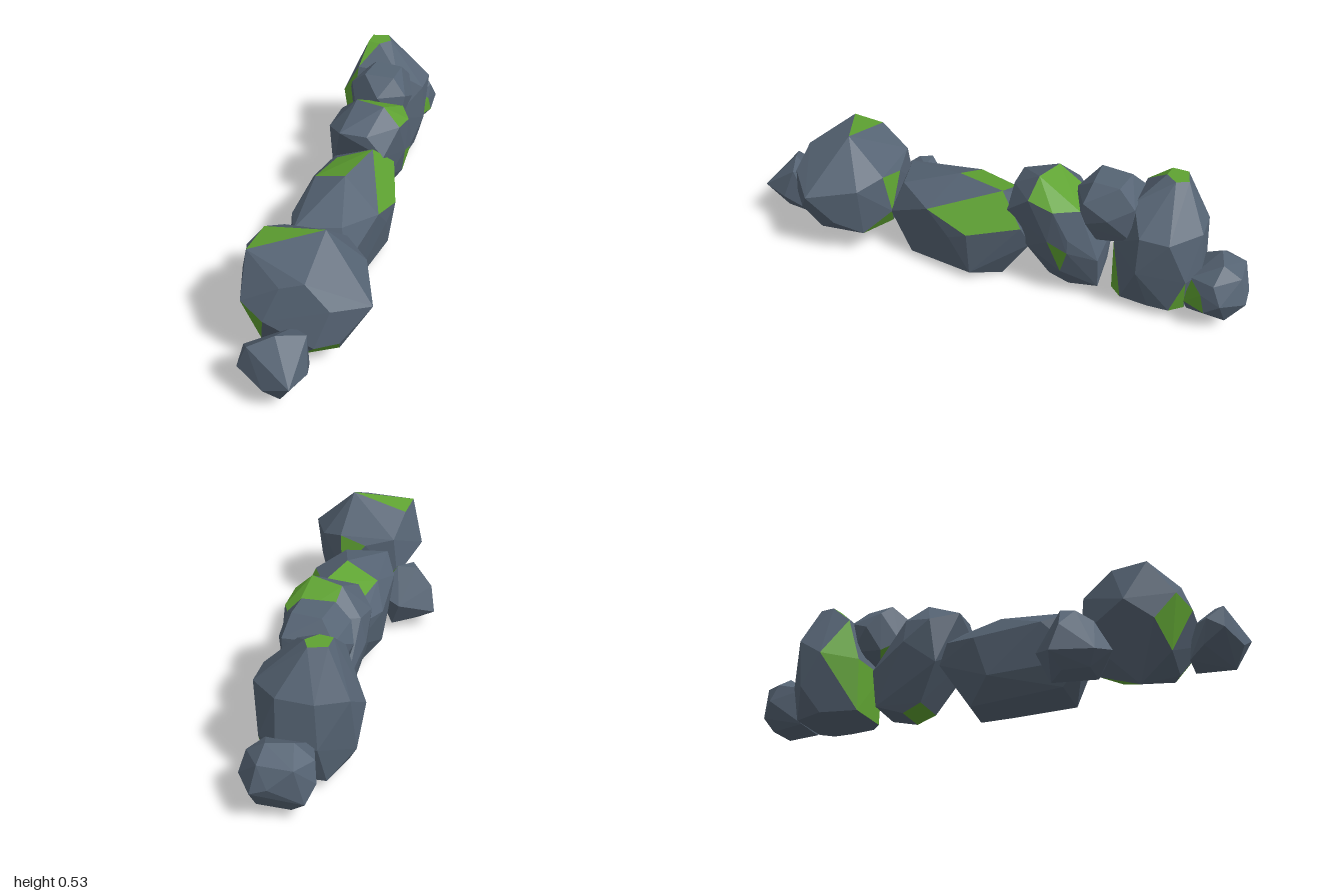
import * as THREE from 'three';
import { ConvexGeometry } from 'three/addons/geometries/ConvexGeometry.js';

const stoneMaterial = new THREE.MeshStandardMaterial({ color: 0x566474, flatShading: true });
const mossMaterial = new THREE.MeshStandardMaterial({ color: 0x5fa332, flatShading: true });

// Each boulder: its corners, and the groups of corners that bound mossy facets
const boulders = {
  smallFrontBoulder: {
    corners: [[.02, .29, .89], [.115, .28, .85], [-.065, .255, .93], [.1, .175, 1], [0, .12, .98],
      [-.105, .155, .93], [-.1, .2, .87], [.045, .05, .94], [-.08, .11, .85], [.13, .155, .9],
      [.1, .08, .79], [-.03, .08, .79], [.05, .25, .8]],
    moss: [],
  },
  largeFrontBoulder: {
    corners: [[.1, .5, .58], [-.145, .445, .685], [-.13, .44, .55], [0, .39, .78], [.085, .42, .77],
      [.175, .34, .79], [.292, .305, .69], [-.14, .3, .78], [-.2, .28, .6], [-.05, .265, .82],
      [.13, .2, .83], [.2, .185, .77], [.25, .18, .6], [-.17, .2, .7], [-.09, .1, .74],
      [.05, .06, .74], [.18, .09, .7], [-.04, .01, .61], [.2, .12, .5], [.13, .36, .43],
      [-.1, .36, .43], [.12, .2, .405], [-.12, .2, .42], [.05, .1, .44], [.22, .33, .5],
      [.02, .33, .41]],
    moss: [[0, 1, 2], [7, 9, 14, 13], [10, 11, 16, 15], [17, 18, 21, 23], [19, 21, 25]],
  },
  sideBoulder: {
    corners: [[-.21, .27, .37], [-.13, .27, .37], [-.275, .185, .38], [-.295, .08, .345], [-.25, .08, .5],
      [-.09, .08, .5], [-.17, .1, .545], [-.22, .03, .37], [-.21, .03, .47], [-.09, .03, .47],
      [-.12, .03, .3], [-.155, .14, .255], [-.05, .15, .4], [-.16, .23, .48], [-.06, .17, .3],
      [-.19, .27, .42]],
    moss: [[1, 12, 14]],
  },
  longMiddleBoulder: {
    corners: [[-.05, .325, -.06], [.095, .395, -.055], [.04, .395, .14], [-.09, .34, .1], [.16, .285, -.15],
      [.215, .24, .05], [.19, .305, .22], [.09, .33, .36], [-.08, .32, .4], [-.13, .28, .27],
      [-.13, .26, 0], [-.08, .28, -.13], [.2, .2, .13], [.12, .2, .41], [-.1, .12, .42],
      [.1, .002, -.055], [-.03, .02, -.05], [.19, .04, .05], [.12, .02, .33], [-.07, .03, .33],
      [-.12, .1, .05], [.13, .2, -.18], [-.06, .2, -.17]],
    moss: [[0, 1, 2, 3], [1, 4, 5, 6]],
  },
  leaningBoulder: {
    corners: [[-.02, .49, -.24], [.1, .5, -.2], [.17, .43, -.18], [.185, .41, -.28], [.14, .41, -.37],
      [0, .42, -.36], [.13, .34, -.085], [-.05, .42, -.09], [.06, .42, -.09], [-.12, .38, -.19],
      [-.12, .3, -.3], [-.1, .2, -.17], [.14, .2, -.17], [.185, .24, -.34], [.15, .21, -.45],
      [-.08, .21, -.45], [.12, .065, -.45], [-.06, .065, -.44], [.1, .03, -.33], [-.04, .03, -.33],
      [.16, .13, -.31], [.18, .27, -.26], [-.1, .4, -.3], [.1, .06, -.25], [-.05, .06, -.25],
      [.185, .3, -.34]],
    moss: [[0, 1, 2, 3, 4, 5], [13, 20, 21, 25], [11, 12, 18, 19, 23, 24]],
  },
  perchedBoulder: {
    corners: [[-.03, .515, -.4], [.09, .515, -.4], [.1, .515, -.5], [-.01, .515, -.52], [-.09, .46, -.42],
      [.145, .45, -.38], [.04, .45, -.33], [.12, .45, -.565], [-.06, .45, -.565], [-.11, .4, -.475],
      [.155, .4, -.475], [-.05, .34, -.35], [.13, .34, -.355], [.12, .315, -.555], [-.06, .32, -.56],
      [-.08, .3, -.42], [.1, .27, -.43], [-.02, .27, -.45], [.09, .27, -.48]],
    moss: [[11, 12, 15, 16, 17], [4, 6, 11]],
  },
  tallRearBoulder: {
    corners: [[-.08, .53, -.65], [-.075, .53, -.71], [-.01, .53, -.725], [.01, .53, -.68], [-.03, .53, -.64],
      [-.1, .45, -.56], [.07, .45, -.55], [.175, .37, -.6], [.18, .37, -.71], [.08, .38, -.81],
      [-.05, .37, -.81], [-.155, .36, -.75], [-.185, .28, -.635], [-.11, .26, -.5], [.08, .26, -.49],
      [.185, .22, -.6], [.15, .2, -.78], [.08, .21, -.825], [-.06, .2, -.82], [-.17, .15, -.72],
      [-.1, .045, -.5], [.08, .045, -.495], [.14, .045, -.65], [.1, .045, -.78], [-.08, .045, -.78],
      [-.13, .045, -.65], [.125, .045, -.54], [.14, .045, -.73]],
    moss: [[0, 1, 2, 3, 4], [0, 4, 5], [5, 12, 13], [12, 13, 20, 25], [13, 14, 20, 21], [14, 21, 26],
      [16, 23, 27]],
  },
  smallRearBoulder: {
    corners: [[0, .27, -.88], [.09, .27, -.9], [.1, .235, -.97], [-.02, .23, -.97], [-.07, .22, -.89],
      [.16, .22, -.88], [.06, .165, -1], [.12, .14, -1], [-.08, .15, -.92], [.18, .15, -.915],
      [.16, .17, -.84], [.12, .21, -.79], [.13, .1, -.78], [-.04, .2, -.78], [.17, .1, -.86],
      [.12, .045, -.935], [0, .045, -.94], [.1, .045, -.79], [-.03, .05, -.79], [-.05, .09, -.96]],
    moss: [[10, 11, 12, 14]],
  },
};

function facetMesh(name, coords, material) {
  const geometry = new THREE.BufferGeometry();
  geometry.setAttribute('position', new THREE.Float32BufferAttribute(coords, 3));
  geometry.computeVertexNormals();
  const mesh = new THREE.Mesh(geometry, material);
  mesh.name = name;
  return mesh;
}

// Wrap the corners in a faceted hull, then sort its facets into stone and moss
function makeBoulder(name, { corners, moss }) {
  const points = corners.map((c) => new THREE.Vector3(...c));
  const position = new ConvexGeometry(points).getAttribute('position');
  const stoneCoords = [];
  const mossCoords = [];
  const vertex = new THREE.Vector3();
  for (let i = 0; i < position.count; i += 3) {
    const ids = [];
    const coords = [];
    for (let k = 0; k < 3; k++) {
      vertex.fromBufferAttribute(position, i + k);
      ids.push(points.findIndex((p) => p.distanceTo(vertex) < 1e-4));
      coords.push(vertex.x, vertex.y, vertex.z);
    }
    const mossy = moss.some((patch) => ids.every((id) => patch.includes(id)));
    (mossy ? mossCoords : stoneCoords).push(...coords);
  }
  const boulder = new THREE.Group();
  boulder.name = name;
  boulder.add(facetMesh('stone', stoneCoords, stoneMaterial));
  if (mossCoords.length) boulder.add(facetMesh('moss', mossCoords, mossMaterial));
  return boulder;
}

export function createModel() {
  const model = new THREE.Group();
  model.name = 'mossyBoulderRow';
  for (const [name, spec] of Object.entries(boulders)) model.add(makeBoulder(name, spec));
  return model;
}
